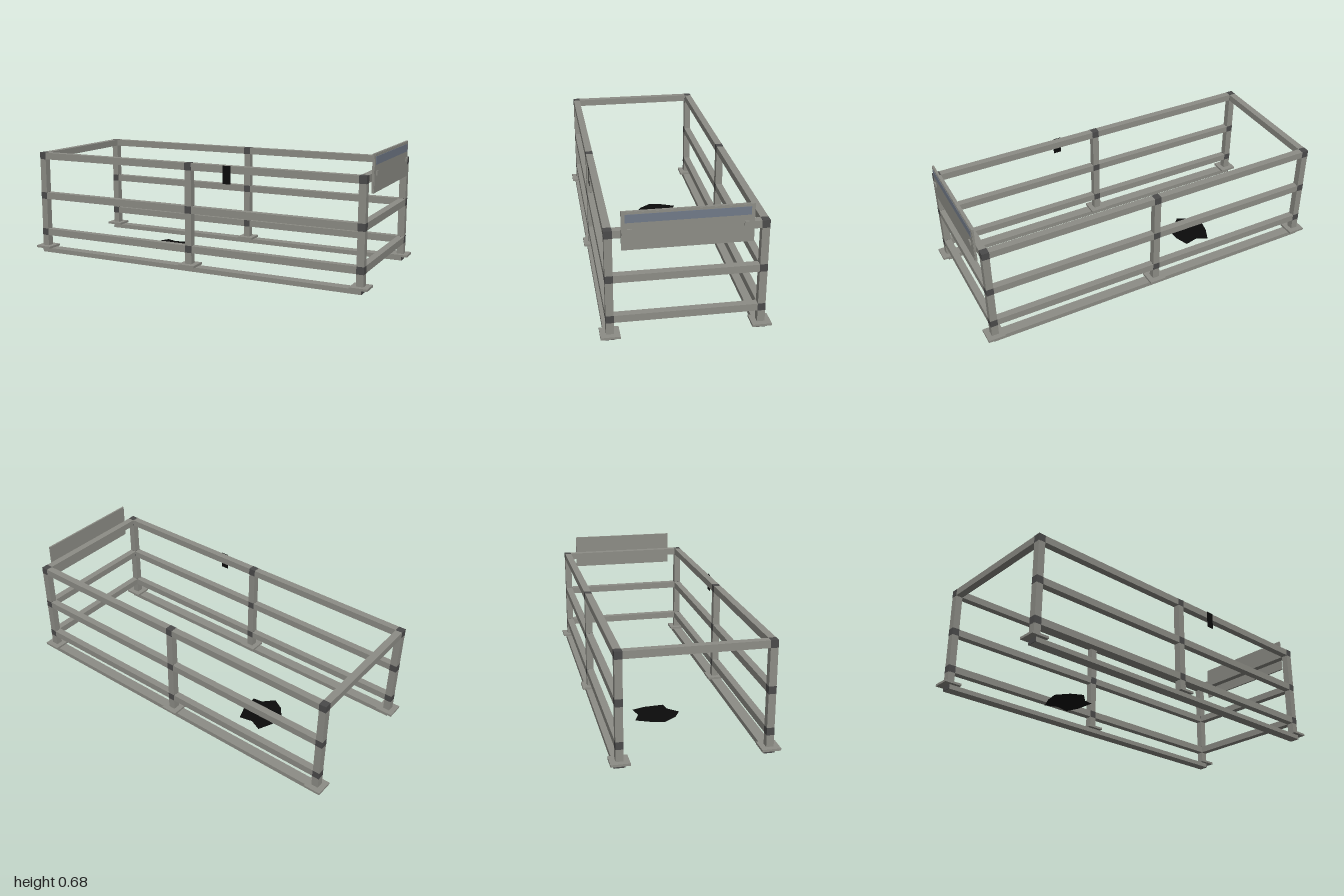
import * as THREE from 'three';

const mat = (name, color) => {
  const m = new THREE.MeshStandardMaterial({ color });
  m.name = name;
  return m;
};

export function createModel() {
  const model = new THREE.Group();
  model.name = 'railFrame';

  const steel = mat('steel', 0x8d8d86);
  const joint = mat('darkJoint', 0x4b4b4b);
  const black = mat('black', 0x0b0b0b);
  black.side = THREE.DoubleSide;
  const blue = mat('blueGrey', 0x717a88);

  const box = (name, material, w, h, d, x, y, z, parent = model) => {
    const mesh = new THREE.Mesh(new THREE.BoxGeometry(w, h, d), material);
    mesh.name = name;
    mesh.position.set(x, y, z);
    parent.add(mesh);
    return mesh;
  };

  const T = 0.038;              // tube width
  const X = 0.954, Z = 0.369;   // post positions
  const levels = [0.118, 0.333, 0.565];

  for (const z of [Z, -Z]) {
    // ground rail with dark ends
    box('groundRail', steel, 1.93, 0.025, 0.057, 0, 0.0125, z);
    for (const s of [1, -1]) box('groundRailEnd', joint, 0.002, 0.025, 0.057, s * 0.966, 0.0125, z);

    // posts on foot plates, with dark joint sleeves
    for (const x of [-X, 0, X]) {
      const post = new THREE.Group();
      post.name = 'postAssembly';
      post.position.set(x, 0, z);
      model.add(post);
      box('footPlate', steel, 0.094, 0.012, 0.096, 0, 0.031, 0, post);
      box('post', steel, T, 0.547, T, 0, 0.3105, 0, post);
      for (const y of levels) box('jointSleeve', joint, T + 0.001, T + 0.001, T + 0.001, 0, y, 0, post);
    }

    // long side rails
    for (const y of levels) {
      for (const s of [1, -1]) box('sideRail', steel, X - T, T, T, s * X / 2, y, z);
    }
  }

  // end rails: three on the left end, only the top one on the open end
  for (const y of levels) box('endRail', steel, T, T, 2 * Z - T, X, y, 0);
  box('openEndRail', steel, T, T, 2 * Z - T, -X, levels[2], 0);

  // sign board with raised face, stripe and square bolts
  const sign = new THREE.Group();
  sign.name = 'signBoard';
  model.add(sign);
  box('board', steel, 0.010, 0.194, 0.62, 0.979, 0.585, 0, sign);
  box('boardFace', steel, 0.002, 0.188, 0.612, 0.985, 0.585, 0, sign);
  box('stripe', blue, 0.002, 0.041, 0.584, 0.987, 0.647, 0, sign);
  for (const z of [0.272, -0.272]) box('bolt', steel, 0.008, 0.022, 0.022, 0.990, 0.585, z, sign);

  // black tag hanging on the front top rail
  const tag = new THREE.Mesh(new THREE.PlaneGeometry(0.046, 0.096), black);
  tag.name = 'tag';
  tag.position.set(0.23, 0.537, 0.391);
  model.add(tag);

  // flat ragged patch on the floor, outline as x, z
  const outline = [
    [-0.465, -0.197], [-0.40, -0.168], [-0.327, -0.185], [-0.302, -0.115], [-0.295, -0.008],
    [-0.347, 0], [-0.402, 0.057], [-0.465, 0.022], [-0.515, -0.045], [-0.50, -0.12],
  ];
  const shape = new THREE.Shape(outline.map(([x, z]) => new THREE.Vector2(x, -z)));
  const patch = new THREE.Mesh(new THREE.ShapeGeometry(shape), black);
  patch.name = 'floorPatch';
  patch.rotation.x = -Math.PI / 2;
  patch.position.y = 0.002;
  model.add(patch);

  return model;
}
